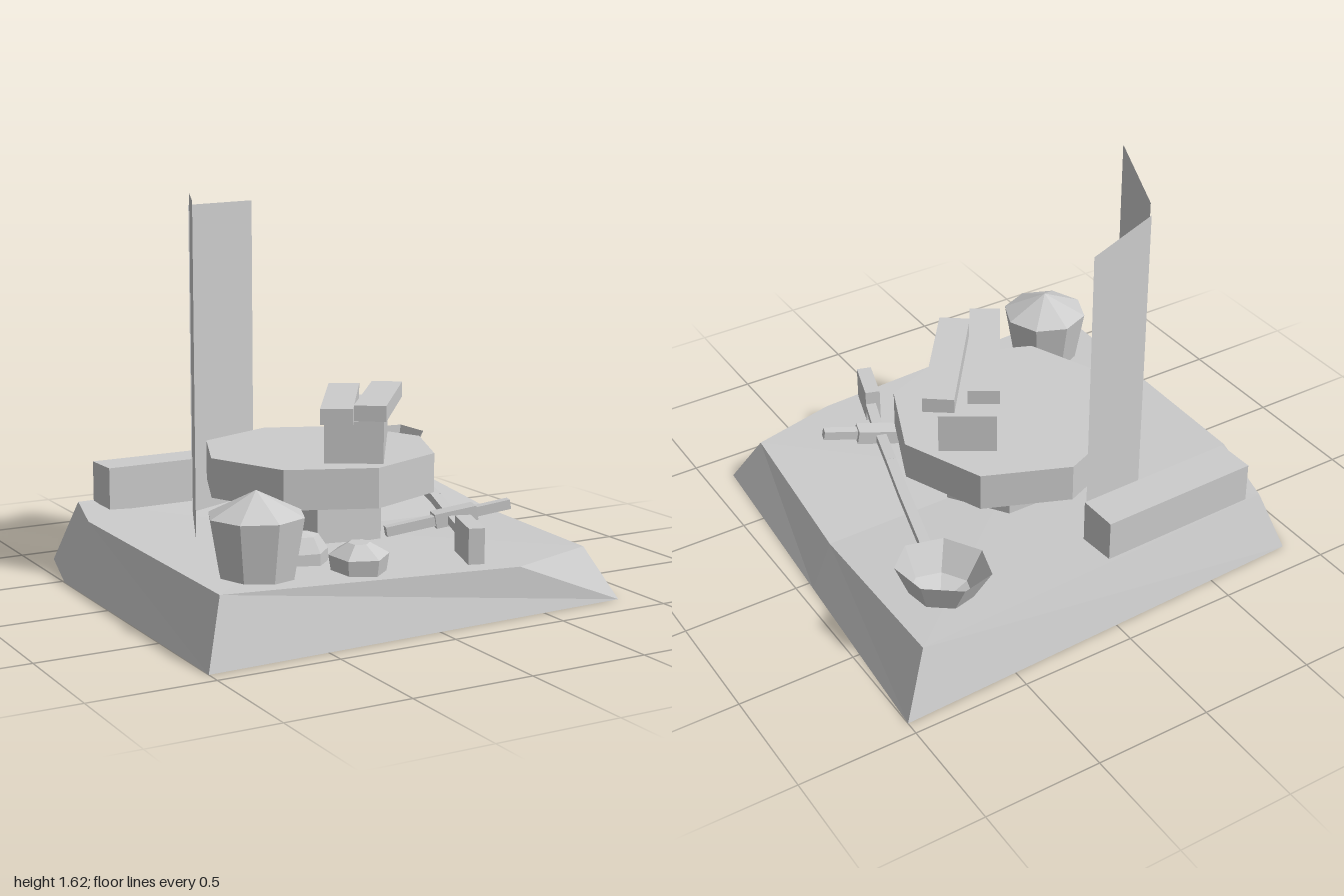
import * as THREE from 'three';

const mat = new THREE.MeshStandardMaterial({ color: 0xcccccc, flatShading: true, side: THREE.DoubleSide });

export function createModel() {
  const model = new THREE.Group();

  const add = (name, geo, x = 0, y = 0, z = 0, ry = 0) => {
    const mesh = new THREE.Mesh(geo, mat);
    mesh.name = name;
    mesh.position.set(x, y, z);
    mesh.rotation.y = ry;
    model.add(mesh);
    return mesh;
  };

  // Box stretched between two points
  const bar = (name, a, b, w, h) => {
    const p = new THREE.Vector3(...a), q = new THREE.Vector3(...b);
    const mesh = add(name, new THREE.BoxGeometry(w, h, p.distanceTo(q)));
    mesh.position.copy(p).add(q).multiplyScalar(0.5);
    mesh.lookAt(q);
    return mesh;
  };

  // Faceted body of revolution from [radius, height] pairs
  const lathe = (name, profile, sides, x, z, ry = 0) =>
    add(name, new THREE.LatheGeometry(profile.map(p => new THREE.Vector2(...p)), sides), x, 0, z, ry);

  // Ground slab: uneven top, sloping sides, open underneath
  const top = [[0.78, 0.21, 0.75], [0.85, 0.2, -0.04], [0.88, 0.265, -0.86], [-0.81, 0.265, -0.79],
    [-0.91, 0.265, -0.42], [-0.92, 0.265, 0.86], [0.39, 0.2, 0.86]];
  const foot = [[0.88, 0, 0.86], [0.94, 0, -0.04], [1, 0, -0.94], [-0.9, 0, -0.87],
    [-1, 0, -0.48], [-1, 0, 0.93], [0.88, 0, 0.86]];
  const centre = [-0.05, 0.21, -0.04];
  const pos = [];
  top.forEach((t, i) => {
    const j = (i + 1) % top.length;
    pos.push(...centre, ...t, ...top[j]);
    pos.push(...t, ...foot[i], ...foot[j], ...t, ...foot[j], ...top[j]);
  });
  const slab = new THREE.BufferGeometry();
  slab.setAttribute('position', new THREE.Float32BufferAttribute(pos, 3));
  slab.computeVertexNormals();
  add('groundSlab', slab);

  // Round table on a six-sided column
  add('column', new THREE.CylinderGeometry(0.3, 0.3, 0.24, 6, 1, true), -0.02, 0.29, -0.035, Math.PI / 2);
  add('tableDisk', new THREE.CylinderGeometry(0.5, 0.5, 0.165, 8), -0.02, 0.4825, -0.04);

  // Block and two planks on the table
  add('block', new THREE.BoxGeometry(0.656, 0.175, 0.24), 0.11, 0.65, 0.06, 1.008);
  add('leftPlank', new THREE.BoxGeometry(0.628, 0.065, 0.132), 0.18, 0.769, 0.12, 0.921);
  add('rightPlank', new THREE.BoxGeometry(0.645, 0.065, 0.132), 0.01, 0.769, 0.095, 1.008);

  // Two tall upright panels meeting at an angle
  const panel = (name, x0, z0, x1, z1, y1) => {
    const h = y1 - 0.2;
    add(name, new THREE.PlaneGeometry(Math.hypot(x1 - x0, z1 - z0), h),
      (x0 + x1) / 2, 0.2 + h / 2, (z0 + z1) / 2, Math.atan2(z0 - z1, x1 - x0));
  };
  panel('sidePanel', -0.62, 0.02, -0.415, -0.45, 1.62);
  panel('backPanel', -0.415, -0.46, -0.04, -0.61, 1.57);

  // Low bench behind the panels
  add('bench', new THREE.BoxGeometry(0.715, 0.2, 0.175), -0.38, 0.34, -0.705, 0.025);

  // Lidded pot
  lathe('pot', [[0.14, 0.2], [0.19, 0.485], [0, 0.58]], 8, -0.66, 0.64);

  // Rocks: irregular faceted lumps
  const backRock = lathe('backRock', [[0.11, 0.19], [0.11, 0.28], [0.07, 0.34], [0, 0.355]], 6, -0.38, 0.475, 0.3);
  backRock.scale.z = 0.95;
  const frontRock = lathe('frontRock', [[0.12, 0.19], [0.14, 0.295], [0.05, 0.34], [0, 0.34]], 6, -0.245, 0.69, 1.2);
  frontRock.scale.z = 0.85;

  // Tilted bowl at the far end of the shaft
  const bowl = new THREE.LatheGeometry(
    [[0, -0.09], [0.13, -0.03], [0.195, 0.09]].map(p => new THREE.Vector2(...p)), 7);
  add('bowl', bowl, 0.68, 0.35, -0.665, 0.35).rotation.set(0, 0.35, 0.14);

  // Shaft, crossbar and grip
  const path = [[0.64, 0.37, -0.5], [0.515, 0.345, -0.08], [0.44, 0.335, 0.16], [0.35, 0.305, 0.44], [0.25, 0.29, 0.72]];
  for (let i = 0; i < path.length - 1; i++) bar('shaft', path[i], path[i + 1], 0.045, 0.035);
  bar('crossbar', [0.09, 0.265, 0.33], [0.6, 0.355, 0.475], 0.04, 0.04);
  bar('crossbarHub', [0.29, 0.3, 0.38], [0.46, 0.33, 0.43], 0.075, 0.06);
  bar('grip', [0.275, 0.3, 0.62], [0.21, 0.295, 0.82], 0.065, 0.145);

  return model;
}
